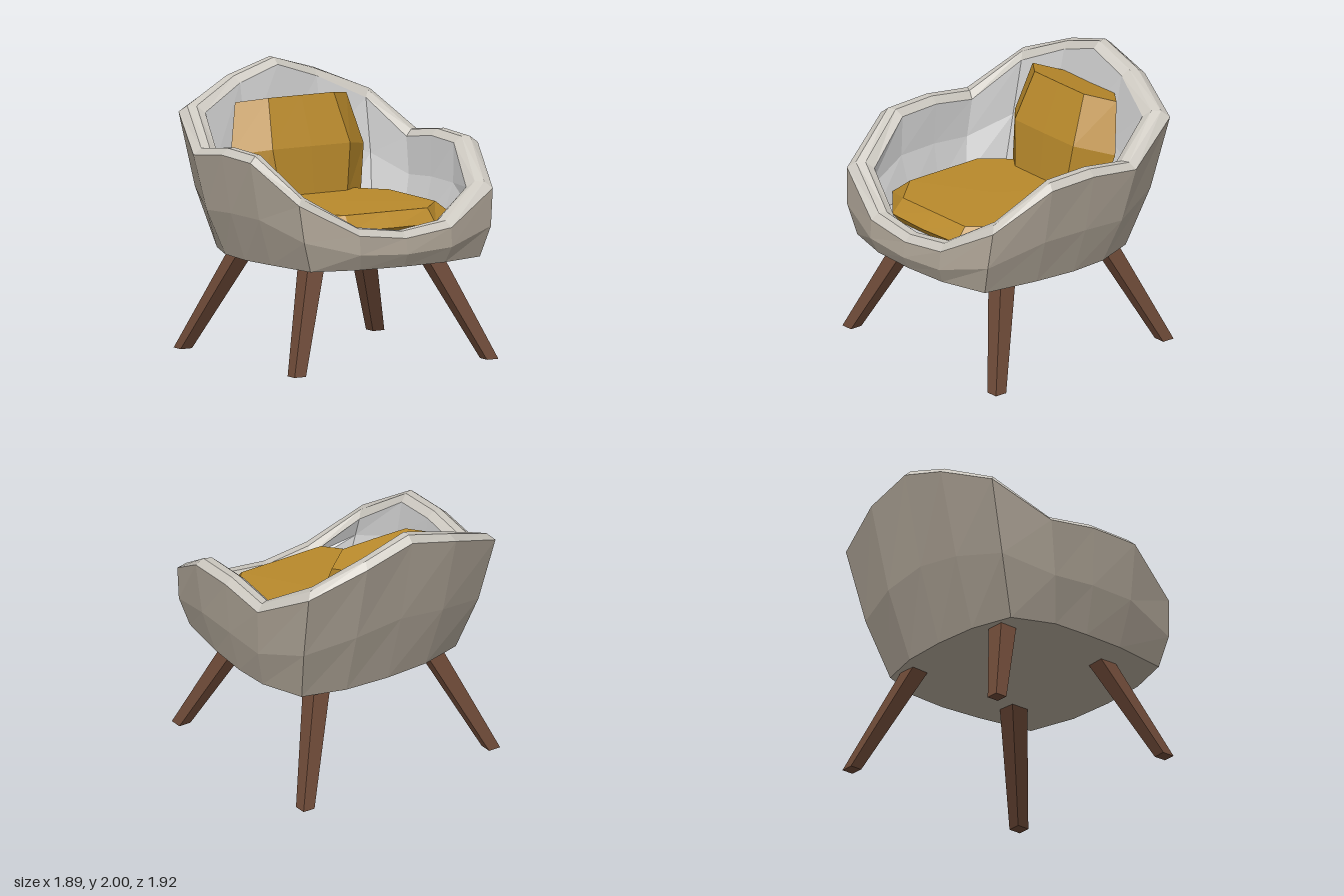
import * as THREE from 'three';

const paint = (color) => new THREE.MeshStandardMaterial({ color, flatShading: true, roughness: 0.9 });

// Half outline (front centre -> +x -> back centre) mirrored into a closed ring
function mirrorRing(half) {
  const back = half.slice(1, -1).reverse().map(([x, y, z]) => [-x, y, z]);
  return [...half, ...back];
}

// Joins rings in order; the outline runs counter-clockwise seen from above.
// A ring of one point closes the surface with a fan.
function loft(name, rings, material) {
  const pos = [];
  const n = Math.max(...rings.map((r) => r.length));
  for (let i = 0; i < rings.length - 1; i++) {
    const lo = rings[i], hi = rings[i + 1];
    for (let j = 0; j < n; j++) {
      const k = (j + 1) % n;
      const a = lo[j % lo.length], b = lo[k % lo.length];
      const c = hi[k % hi.length], d = hi[j % hi.length];
      if (lo.length > 1) pos.push(...a, ...b, ...c);
      if (hi.length > 1) pos.push(...a, ...c, ...d);
    }
  }
  const geo = new THREE.BufferGeometry();
  geo.setAttribute('position', new THREE.Float32BufferAttribute(pos, 3));
  geo.computeVertexNormals();
  const mesh = new THREE.Mesh(geo, material);
  mesh.name = name;
  return mesh;
}

// Scales a ring in plan about z = cz, and lifts it
const inset = (ring, s, lift, cz = 0) => ring.map(([x, y, z]) => [x * s, y + lift, cz + (z - cz) * s]);
// Ring part-way between two others, swollen outwards
const between = (a, b, t, swell) => a.map((p, i) => p.map((v, k) =>
  (v + (b[i][k] - v) * t) * (k === 1 ? 1 : swell)));

// Tub shell: underside, outer wall, rolled rim, inner wall and floor
function makeShell() {
  const base = mirrorRing([
    [0, 0.74, 0.92], [0.35, 0.74, 0.9], [0.7, 0.74, 0.8], [0.77, 0.74, 0.38], [0.79, 0.735, 0.06],
    [0.78, 0.74, -0.22], [0.66, 0.74, -0.53], [0.34, 0.74, -0.62], [0, 0.74, -0.64],
  ]);
  const edge = mirrorRing([
    [0, 0.945, 0.95], [0.38, 0.99, 0.94], [0.8, 1.22, 0.81], [0.94, 1.48, 0.38], [0.945, 1.49, 0],
    [0.94, 1.44, -0.39], [0.8, 1.68, -0.82], [0.38, 1.85, -0.94], [0, 1.955, -0.95],
  ]);
  const lip = inset(edge, 0.83, 0);
  const floor = inset(base, 0.86, 0.18, 0.1);
  const shell = new THREE.Group();
  shell.name = 'tubShell';
  shell.add(
    loft('outerShell', [[[0, 0.71, 0.14]], base, between(base, edge, 0.45, 1.035), edge], paint(0xb0a698)),
    loft('rim', [edge, inset(edge, 0.945, 0.045), inset(edge, 0.885, 0.045), lip], paint(0xcac6be)),
    loft('innerShell', [lip, between(lip, floor, 0.5, 1.05), floor, [[0, 0.92, 0.14]]], paint(0xc4c2c0)),
  );
  return shell;
}

// Seat cushion: bevelled octagon
function makeSeat(material) {
  const middle = mirrorRing([
    [0, 1.0, 0.79], [0.35, 1.0, 0.77], [0.66, 1.0, 0.51], [0.66, 1.0, -0.25], [0.36, 1.0, -0.5], [0, 1.0, -0.52],
  ]);
  const top = mirrorRing([
    [0, 1.1, 0.68], [0.34, 1.1, 0.68], [0.55, 1.1, 0.44], [0.55, 1.1, -0.18], [0.34, 1.1, -0.42], [0, 1.1, -0.42],
  ]);
  const bottom = top.map(([x, , z]) => [x, 0.9, z]);
  return loft('seatCushion', [[[0, 0.9, 0.13]], bottom, middle, top, [[0, 1.105, 0.13]]], material);
}

// Back cushion: leaning pillow, fullest half-way up
function makeBackCushion(material) {
  const section = (y, xf, xs, d) => mirrorRing(
    [[0, y, d * 1.02], [xf, y, d], [xs, y, 0], [xf, y, -d], [0, y, -d * 0.9]]);
  const cushion = loft('backCushion', [
    [[0, -0.37, 0]],
    section(-0.37, 0.27, 0.47, 0.15),
    section(0, 0.32, 0.55, 0.2),
    section(0.37, 0.27, 0.46, 0.145),
    [[0, 0.37, 0]],
  ], material);
  cushion.position.set(0, 1.385, -0.525);
  cushion.rotation.x = -0.24;
  return cushion;
}

// Splayed, tapered square leg
function makeLeg(name, sx, sz, material) {
  const square = (y, cx, cz, h) => [[1, 1], [1, -1], [-1, -1], [-1, 1]]
    .map(([a, b]) => [sx * cx + a * h, y, sz * cz + b * h]);
  const foot = square(0, 0.795, 0.77, 0.047);
  const head = square(0.84, 0.44, 0.415, 0.072);
  return loft(name, [[[sx * 0.795, 0, sz * 0.77]], foot, head, [[sx * 0.44, 0.84, sz * 0.415]]], material);
}

export function createModel() {
  const model = new THREE.Group();
  model.name = 'tubChair';
  const fabric = paint(0xb8892b);
  const wood = paint(0x6b4836);
  model.add(makeShell(), makeSeat(fabric), makeBackCushion(fabric));
  for (const sx of [1, -1]) {
    for (const sz of [1, -1]) {
      model.add(makeLeg((sz > 0 ? 'front' : 'back') + (sx > 0 ? 'Left' : 'Right') + 'Leg', sx, sz, wood));
    }
  }
  return model;
}
